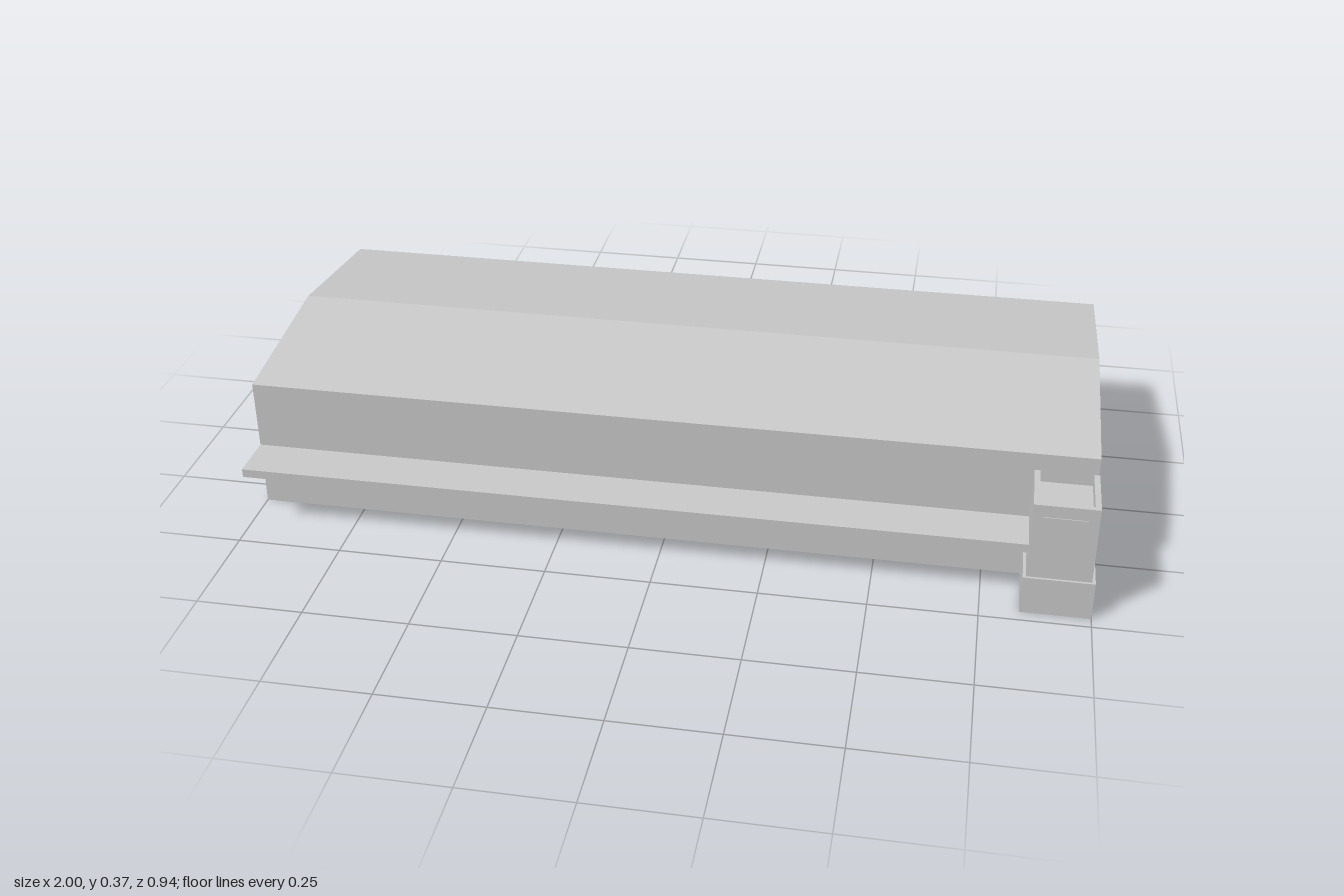
import * as THREE from 'three';

const material = new THREE.MeshStandardMaterial({ color: 0xcccccc, flatShading: true });

// Box given by its min and max along each axis
function box(name, [x0, x1], [y0, y1], [z0, z1]) {
  const mesh = new THREE.Mesh(new THREE.BoxGeometry(x1 - x0, y1 - y0, z1 - z0), material);
  mesh.position.set((x0 + x1) / 2, (y0 + y1) / 2, (z0 + z1) / 2);
  mesh.name = name;
  return mesh;
}

export function createModel() {
  const model = new THREE.Group();
  model.name = 'warehouse';

  // Main hall: gabled cross-section (drawn as -z, y) extruded along x
  const section = new THREE.Shape([
    [-0.317, 0], [0.468, 0], [0.468, 0.326], [0.075, 0.372], [-0.317, 0.326],
  ].map(([u, y]) => new THREE.Vector2(u, y)));
  const hallGeometry = new THREE.ExtrudeGeometry(section, { depth: 1.99, bevelEnabled: false });
  hallGeometry.rotateY(Math.PI / 2);
  const hall = new THREE.Mesh(hallGeometry, material);
  hall.position.x = -1;
  hall.name = 'hall';
  model.add(hall);

  // Long canopy over the loading front
  model.add(box('canopy', [-1, 0.847], [0.138, 0.159], [0.317, 0.434]));

  // Entrance tower with a sunken roof and parapets on its three free sides
  const tower = new THREE.Group();
  tower.name = 'entranceTower';
  const floor = 0.255, top = 0.284;
  tower.add(
    box('towerBody', [0.847, 0.992], [0, floor], [0.317, 0.463]),
    box('leftParapet', [0.979, 0.992], [floor, top], [0.317, 0.463]),
    box('rightParapet', [0.847, 0.86], [floor, top], [0.317, 0.463]),
    box('frontParapet', [0.86, 0.979], [floor, top], [0.45, 0.463]),
    box('signPanel', [0.87, 0.968], [0.192, 0.254], [0.463, 0.465]),
    box('plinth', [0.84, 1], [0, 0.094], [0.317, 0.469]),
  );
  model.add(tower);

  return model;
}
